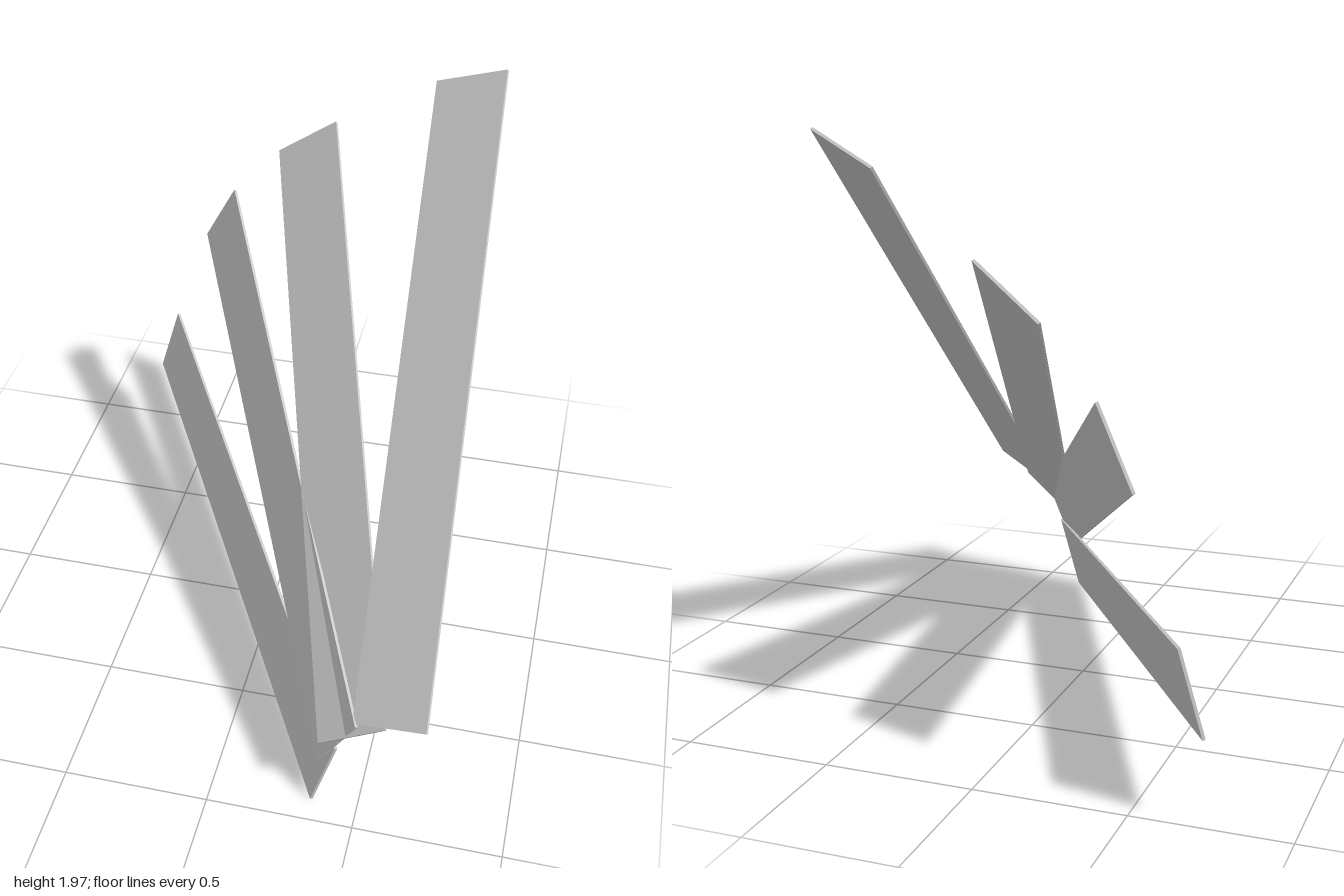
import * as THREE from 'three';

const THICKNESS = 0.01;
const WIDTH = 0.282;

// Each slat: middle of the near end, middle of the far end, direction across its width
const SLATS = [
  { near: [0.383, 0.143, 0.912], far: [-0.69, 0.415, -1.0], across: [0.08, 0.27, 0] },
  { near: [0.425, 0.305, 0.91], far: [-0.44, 1.107, -0.95], across: [0.13, 0.245, 0.05] },
  { near: [0.475, 0.375, 0.93], far: [-0.08, 1.525, -0.878], across: [0.23, 0.17, 0.045] },
  { near: [0.598, 0.477, 0.957], far: [0.525, 1.915, -0.722], across: [0.25, 0.11, 0.085] },
];

// Thin flat board stretched between two end points
function makeSlat({ near, far, across }, material) {
  const a = new THREE.Vector3(...near);
  const b = new THREE.Vector3(...far);
  const along = b.clone().sub(a);
  const length = along.length();
  along.normalize();
  const normal = new THREE.Vector3(...across).cross(along).normalize();
  const side = along.clone().cross(normal);

  const slat = new THREE.Mesh(new THREE.BoxGeometry(WIDTH, length, THICKNESS), material);
  slat.quaternion.setFromRotationMatrix(new THREE.Matrix4().makeBasis(side, along, normal));
  slat.position.copy(a).add(b).multiplyScalar(0.5);
  return slat;
}

export function createModel() {
  const group = new THREE.Group();
  group.name = 'slatFan';
  const material = new THREE.MeshStandardMaterial({ color: 0xcccccc, flatShading: true });

  // Fan of slats, from the lowest to the most upright
  SLATS.forEach((spec, i) => {
    const slat = makeSlat(spec, material);
    slat.name = `slat${i + 1}`;
    group.add(slat);
  });
  return group;
}
